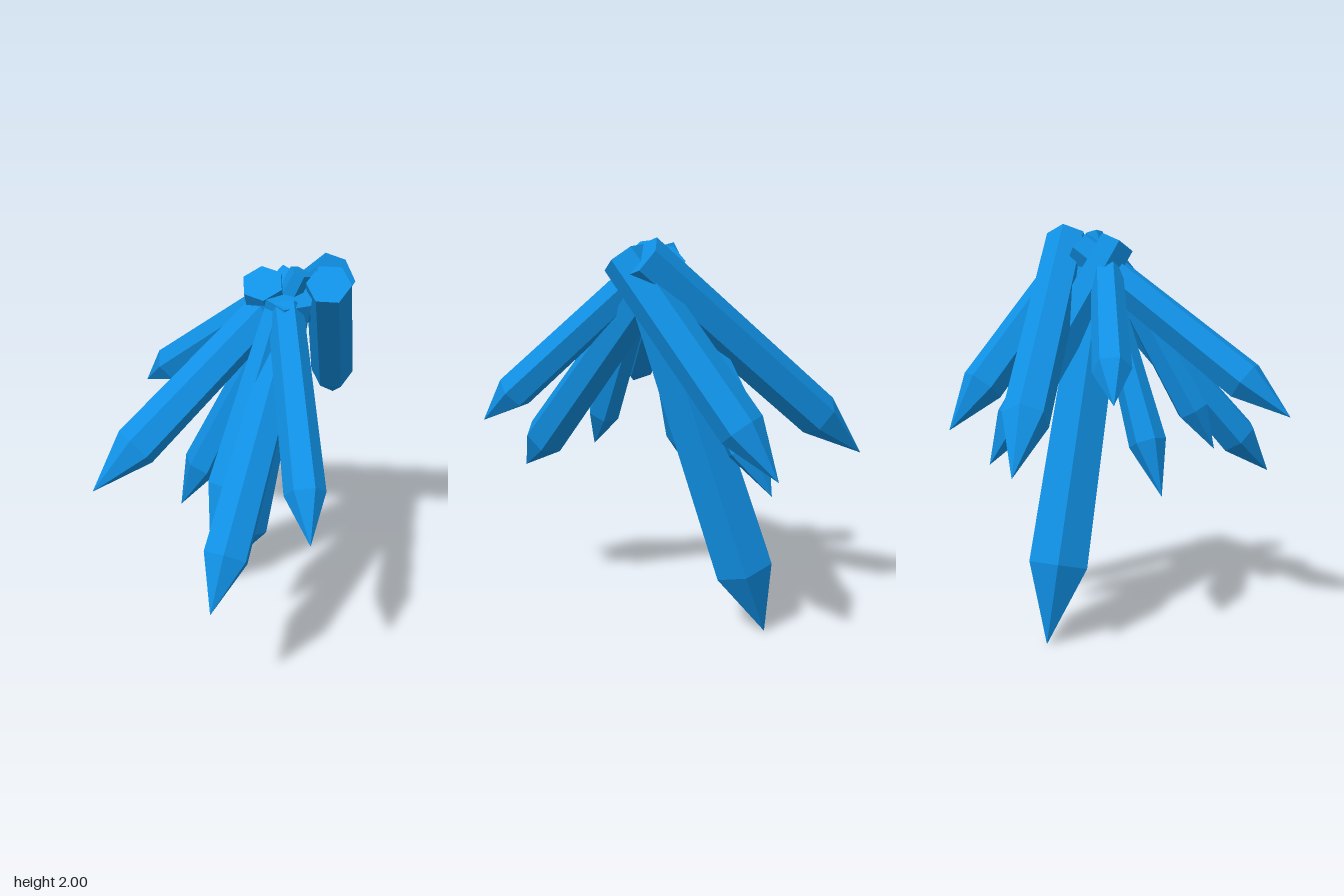
import * as THREE from 'three';

const crystalBlue = new THREE.MeshStandardMaterial({ color: 0x1090e4, flatShading: true });
crystalBlue.name = 'crystalBlue';

// Each crystal: tip, base centre, radius, point length, base taper, roll
const CRYSTALS = [
  { name: 'largeCrystal', tip: [-0.385, 0, -0.29], base: [0.18, 1.86, -0.13], r: 0.16, point: 0.38, taper: 0.82, roll: 0.75 },
  { name: 'rightCrystal', tip: [-0.88, 0.90, -0.30], base: [0.27, 1.92, -0.34], r: 0.11, point: 0.33, taper: 1, roll: 0.5 },
  { name: 'backCrystal', tip: [-0.19, 0.99, -0.83], base: [0.32, 1.91, -0.25], r: 0.108, point: 0.28, taper: 0.95, roll: 0.2 },
  { name: 'smallRightCrystal', tip: [-0.635, 1.19, 0.09], base: [0.10, 1.81, -0.10], r: 0.092, point: 0.22, taper: 0.85, roll: 0.1 },
  { name: 'frontCrystal', tip: [-0.05, 1.08, 0.825], base: [0.12, 1.88, -0.24], r: 0.105, point: 0.28, taper: 0.85, roll: 0.4 },
  { name: 'backRightCrystal', tip: [-0.265, 0.84, -0.6], base: [0.1, 1.9, -0.05], r: 0.107, point: 0.25, taper: 0.92, roll: 0.85 },
  { name: 'frontLeftCrystal', tip: [0.605, 0.70, 0.68], base: [0.17, 1.77, -0.18], r: 0.11, point: 0.26, taper: 0.8, roll: 0.7 },
  { name: 'leftCrystal', tip: [0.875, 1.06, 0.35], base: [0.20, 1.80, -0.10], r: 0.092, point: 0.23, taper: 0.88, roll: 0.3 },
  { name: 'innerFrontCrystal', tip: [0.29, 0.86, 0.425], base: [0.17, 1.80, -0.08], r: 0.085, point: 0.23, taper: 0.75, roll: 0.8 },
  { name: 'innerRightCrystal', tip: [-0.185, 0.70, 0.23], base: [0.20, 1.95, -0.19], r: 0.092, point: 0.27, taper: 0.55, roll: 0.1 },
];

// Six-sided shaft with a pointed tip and a flat base, laid from tip to base
function makeCrystal({ name, tip, base, r, point, taper, roll }) {
  const start = new THREE.Vector3(...tip);
  const axis = new THREE.Vector3(...base).sub(start);
  const length = axis.length();
  const profile = [[0, 0], [r, point], [r * taper, length], [0, length]]
    .map(([x, y]) => new THREE.Vector2(x, y));
  const geometry = new THREE.LatheGeometry(profile, 6);
  geometry.rotateY(roll);
  const mesh = new THREE.Mesh(geometry, crystalBlue);
  mesh.name = name;
  mesh.position.copy(start);
  mesh.quaternion.setFromUnitVectors(new THREE.Vector3(0, 1, 0), axis.normalize());
  return mesh;
}

export function createModel() {
  const group = new THREE.Group();
  group.name = 'crystalCluster';
  for (const crystal of CRYSTALS) group.add(makeCrystal(crystal));
  return group;
}
